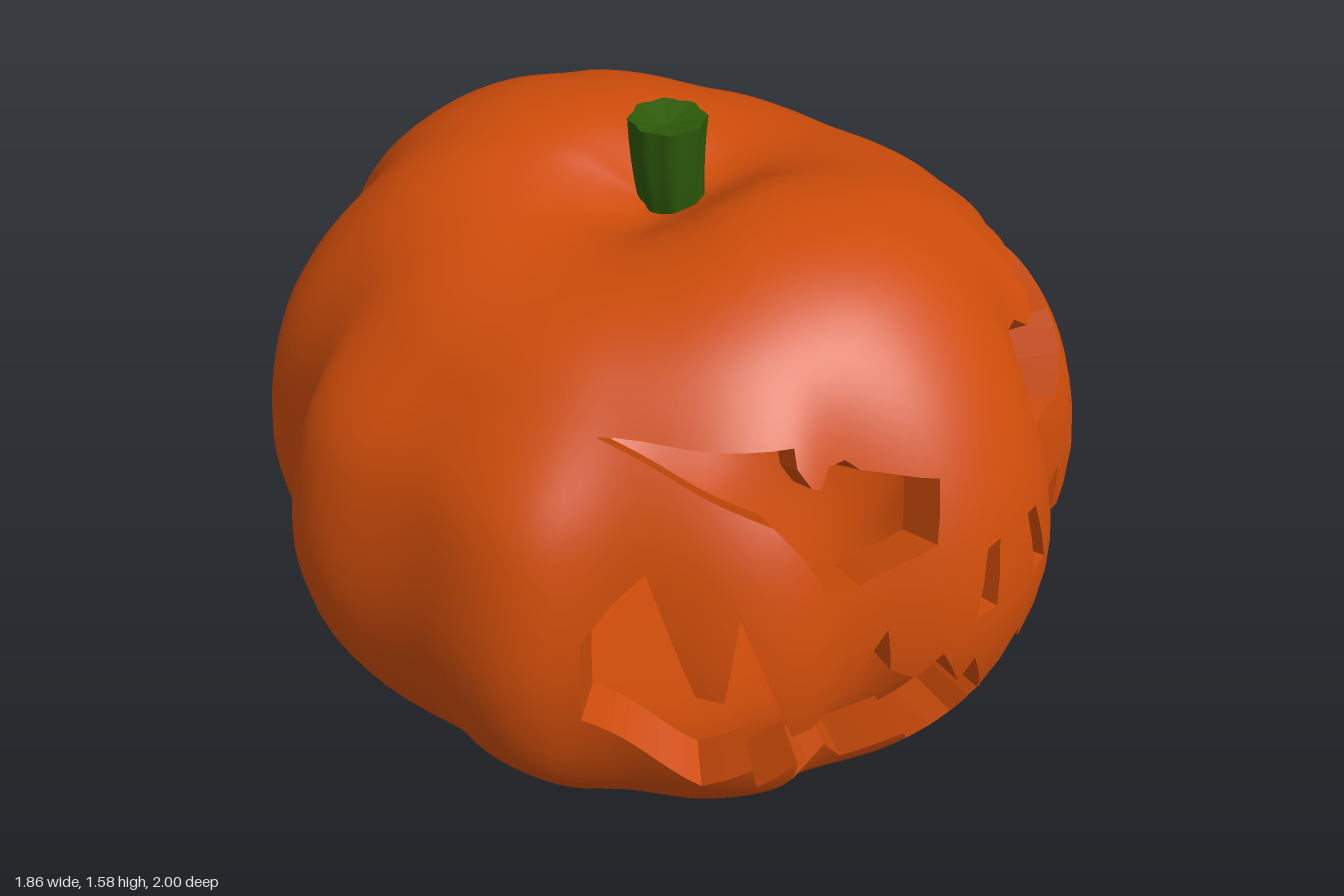
import * as THREE from 'three';

const V3 = (x, y, z) => new THREE.Vector3(x, y, z);
const { smoothstep, lerp, clamp } = THREE.MathUtils;
const W = 6.2, H = 2.4; // size of the unrolled skin
const CENTRE = V3(0, 0.72, 0), INNER = 0.885;

// Ribbed outline seen from above: one quarter, mirrored all round from the back
const quarter = [[0, 1], [0.2, 0.96], [0.36, 0.82], [0.52, 0.82], [0.67, 0.69], [0.75, 0.48], [0.89, 0.37], [0.93, 0.19], [0.9, 0]];
const outline = new THREE.CatmullRomCurve3(Array.from({ length: 32 }, (_, i) => {
  const k = i % 16, [x, z] = quarter[k <= 8 ? k : 16 - k];
  return V3(i < 16 ? -x : x, 0, i < 8 || i > 24 ? -z : z);
}), true);

// Profile from the bottom to the dimple: share of the outline, height
const profile = new THREE.CatmullRomCurve3([
  [0, 0.005], [0.35, 0.012], [0.54, 0.045], [0.7, 0.125], [0.85, 0.28], [0.95, 0.46], [1, 0.69], [0.975, 0.92],
  [0.9, 1.13], [0.8, 1.29], [0.68, 1.4], [0.54, 1.465], [0.38, 1.49], [0.24, 1.475], [0.11, 1.4], [0, 1.33],
].map(([r, y]) => V3(r, y, 0)));

// Point on the skin; u runs round from the back, v from bottom to top
function skin(u, v) {
  const o = outline.getPoint(((u % 1) + 1) % 1), p = profile.getPoint(v);
  // ribs soften above and below the belly, and the crown is lower at the sides
  const ribs = lerp(0.3, 1, smoothstep(p.x, 0.7, 0.97));
  const r = p.x * lerp(1 / Math.hypot(o.x / 0.93, o.z / 0.965), 1, ribs);
  const side = (o.x * o.x) / (o.x * o.x + o.z * o.z);
  const drop = (o.x > 0 ? 0.11 : 0.09) * side * smoothstep(p.y, 1, 1.35) * smoothstep(p.x, 0, 0.25);
  return V3(o.x * r, Math.max(0, p.y - drop), o.z * r);
}

function skinNormal(u, v) {
  const w = clamp(v, 0.012, 0.988), e = 0.022, f = 0.008;
  const du = skin(u + e, w).sub(skin(u - e, w)), dv = skin(u, w + f).sub(skin(u, w - f));
  return du.cross(dv).normalize();
}

function bisect(f, target, lo, hi) {
  for (let i = 0; i < 26; i++) {
    const m = (lo + hi) / 2;
    if (f(m) < target) lo = m; else hi = m;
  }
  return (lo + hi) / 2;
}

// Unroll a point drawn on the front face
function unroll([x, y]) {
  let u = 0.5, v = 0.4;
  for (let i = 0; i < 8; i++) {
    v = bisect((t) => skin(u, t).y, y, 0.15, 0.72);
    u = bisect((t) => skin(t, v).x, x, 9 / 32, 23 / 32);
  }
  return new THREE.Vector2(u * W, v * H);
}

// Carved openings, drawn from the front
const eye = [[0.645, 1.235], [0.415, 1.235], [0.43, 1.2], [0.415, 1.155], [0.39, 1.14], [0.35, 1.17], [0.31, 1.17],
  [0.29, 1.145], [0.17, 1.11], [0.21, 0.975], [0.34, 0.89], [0.445, 0.94], [0.52, 1.11]];
const nostril = [[0.055, 0.925], [0.095, 0.92], [0.135, 0.76], [0.075, 0.76]];
const mouth = [
  // upper edge, left to right
  [-0.8, 0.6], [-0.8, 0.82], [-0.69, 0.99], [-0.69, 0.73], [-0.66, 0.72], [-0.62, 0.93], [-0.54, 0.59], [-0.45, 0.59],
  [-0.46, 0.74], [-0.35, 0.63], [-0.3, 0.77], [-0.29, 0.65], [-0.25, 0.62], [-0.21, 0.69], [-0.15, 0.57], [-0.12, 0.63],
  [-0.02, 0.44], [0.055, 0.6], [0.1, 0.53], [0.19, 0.67], [0.23, 0.6], [0.285, 0.74], [0.31, 0.59], [0.35, 0.6],
  [0.38, 0.69], [0.43, 0.66], [0.46, 0.74], [0.47, 0.59], [0.55, 0.575], [0.64, 0.93], [0.66, 0.72], [0.69, 0.72], [0.7, 1.01],
  // lower edge, back again
  [0.8, 0.81], [0.8, 0.53], [0.63, 0.37], [0.53, 0.47], [0.46, 0.33], [0.41, 0.41], [0.36, 0.28], [0.26, 0.38],
  [0.15, 0.27], [0.08, 0.38], [0.05, 0.31], [0.02, 0.41], [-0.015, 0.31], [-0.04, 0.42], [-0.06, 0.32], [-0.08, 0.39],
  [-0.14, 0.3], [-0.2, 0.38], [-0.26, 0.27], [-0.35, 0.39], [-0.43, 0.32], [-0.49, 0.46], [-0.53, 0.36], [-0.58, 0.47], [-0.62, 0.38],
];
const flip = (pts) => pts.map(([x, y]) => [-x, y]);

// Split every long edge until the flat sheet is fine enough to bend
function refine(pts, tris, limit) {
  for (let again = true; again;) {
    again = false;
    const cache = new Map(), next = [];
    const mid = (a, b) => {
      if (pts[a].distanceTo(pts[b]) <= limit) return -1;
      const key = a < b ? `${a},${b}` : `${b},${a}`;
      if (!cache.has(key)) cache.set(key, pts.push(pts[a].clone().add(pts[b]).multiplyScalar(0.5)) - 1);
      return cache.get(key);
    };
    for (let [a, b, c] of tris) {
      let [p, q, r] = [mid(a, b), mid(b, c), mid(c, a)];
      const n = (p >= 0) + (q >= 0) + (r >= 0);
      if (n) again = true;
      while ((n === 1 && p < 0) || (n === 2 && r >= 0)) [a, b, c, p, q, r] = [b, c, a, q, r, p];
      if (n === 0) next.push([a, b, c]);
      else if (n === 1) next.push([a, p, c], [p, b, c]);
      else if (n === 2) next.push([p, b, q], [a, p, q], [a, q, c]);
      else next.push([a, p, r], [p, b, q], [r, q, c], [p, q, r]);
    }
    tris = next;
  }
  return tris;
}

function makeGeometry(points, normals, index) {
  const g = new THREE.BufferGeometry().setFromPoints(points);
  if (index) g.setIndex(index);
  if (normals) g.setAttribute('normal', new THREE.Float32BufferAttribute(normals.flatMap((n) => n.toArray()), 3));
  else g.computeVertexNormals();
  return g;
}

function part(name, geometry, material) {
  const mesh = new THREE.Mesh(geometry, material);
  mesh.name = name;
  return mesh;
}

export function createModel() {
  const group = new THREE.Group();
  group.name = 'carvedPumpkin';
  const orange = new THREE.MeshStandardMaterial({ color: 0xce4c0a });
  const green = new THREE.MeshStandardMaterial({ color: 0x2d5a0a });

  // Unrolled skin with the face cut out
  const sheet = new THREE.Shape([[0, 0], [W, 0], [W, H], [0, H]].map(([x, y]) => new THREE.Vector2(x, y)));
  sheet.holes = [eye, flip(eye), nostril, flip(nostril), mouth].map((h) => new THREE.Path(h.map(unroll)));
  const flat = new THREE.ShapeGeometry(sheet), fp = flat.attributes.position, fi = flat.index.array;
  const pts = Array.from({ length: fp.count }, (_, i) => new THREE.Vector2(fp.getX(i), fp.getY(i)));
  const start = Array.from({ length: fi.length / 3 }, (_, i) => [fi[3 * i], fi[3 * i + 1], fi[3 * i + 2]]);
  const tris = refine(pts, start, 0.075);

  // Outer skin and the inner wall
  const outer = pts.map((p) => skin(p.x / W, p.y / H));
  const normals = pts.map((p) => skinNormal(p.x / W, p.y / H));
  const inner = outer.map((p) => p.clone().sub(CENTRE).multiplyScalar(INNER).add(CENTRE));
  group.add(part('pumpkinSkin', makeGeometry(outer, normals, tris.flat()), orange));
  group.add(part('innerWall', makeGeometry(inner, normals.map((n) => n.clone().negate()), tris.flatMap(([a, b, c]) => [a, c, b])), orange));

  // Cut faces join the two along every open edge of the carving
  const edges = new Set(tris.flatMap(([a, b, c]) => [`${a},${b}`, `${b},${c}`, `${c},${a}`]));
  const onBorder = (p) => p.x < 1e-5 || p.x > W - 1e-5 || p.y < 1e-5 || p.y > H - 1e-5;
  const cut = [];
  for (const e of edges) {
    const [a, b] = e.split(',').map(Number);
    if (edges.has(`${b},${a}`) || (onBorder(pts[a]) && onBorder(pts[b]))) continue;
    cut.push(outer[b], outer[a], inner[a], outer[b], inner[a], inner[b]);
  }
  group.add(part('carvedEdges', makeGeometry(cut), orange));

  // Fluted stem, flared at the top with a sunken end
  const stem = new THREE.CylinderGeometry(0.085, 0.07, 0.25, 32, 5);
  const sp = stem.attributes.position;
  for (let i = 0; i < sp.count; i++) {
    const x = sp.getX(i), y = sp.getY(i), z = sp.getZ(i), t = y / 0.25 + 0.5;
    const k = 1 + 0.06 * Math.cos(8 * Math.atan2(z, x));
    const sunk = t > 0.99 && Math.hypot(x, z) < 0.01 ? 0.02 : 0;
    sp.setXYZ(i, x * k + 0.03 * (1 - t) * (1 - t) - 0.005, y + 1.455 - sunk, z * k - 0.01 * (1 - t));
  }
  stem.computeVertexNormals();
  group.add(part('stem', stem, green));
  return group;
}
